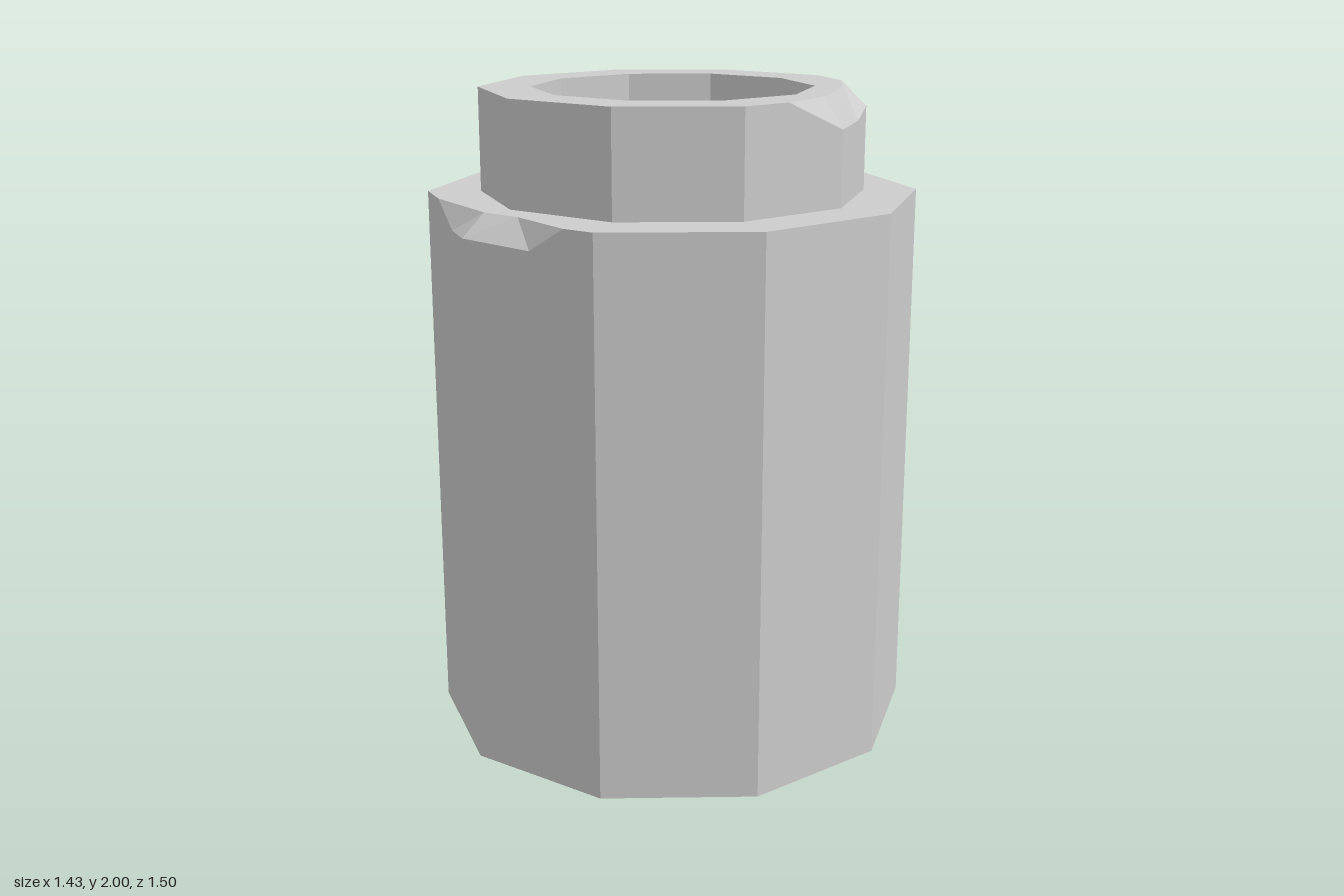
import * as THREE from 'three';

const SIDES = 10, BODY_TOP = 1.685, TOP = 2, FLOOR = 0.115;
const material = new THREE.MeshStandardMaterial({ color: 0xcccccc, flatShading: true, side: THREE.DoubleSide });

// A rim point: wall position (x, z), wall height y, and where the rim starts on the top face (rx, rz)
const point = (x, z, y, rx = x, rz = z) => ({ x, z, y, rx, rz });

// Ten-sided loop; chips replace the corner of the given index by several points
function loop(radius, y, chips = {}) {
  const points = [];
  for (let i = 0; i < SIDES; i++) {
    const a = (i / SIDES) * Math.PI * 2;
    points.push(...(chips[i] ?? [point(radius * Math.sin(a), radius * Math.cos(a), y)]));
  }
  return points;
}

function mesh(name, geometry) {
  const m = new THREE.Mesh(geometry, material);
  m.name = name;
  return m;
}

// Upright wall from y = bottom to the loop, plus sloping facets where the rim is chipped
function wall(name, points, bottom, top, inward = false) {
  const pos = [];
  const tri = (a, b, c) => {
    const [A, B, C] = [a, b, c].map((p) => new THREE.Vector3(...p));
    if (B.clone().sub(A).cross(C.clone().sub(A)).length() < 1e-6) return;
    pos.push(...a, ...(inward ? c : b), ...(inward ? b : c));
  };
  points.forEach((p, i) => {
    const q = points[(i + 1) % points.length];
    const rows = [p, q].map((v) => [[v.x, bottom, v.z], [v.x, v.y, v.z], [v.rx, top, v.rz]]);
    for (let k = 0; k < 2; k++) {
      tri(rows[0][k], rows[1][k], rows[1][k + 1]);
      tri(rows[0][k], rows[1][k + 1], rows[0][k + 1]);
    }
  });
  const g = new THREE.BufferGeometry();
  g.setAttribute('position', new THREE.Float32BufferAttribute(pos, 3));
  g.computeVertexNormals();
  return mesh(name, g);
}

// Flat face at height y, optionally with a hole
function face(name, points, y, hole) {
  const flat = (list) => list
    .map((p) => new THREE.Vector2(p.rx, -p.rz))
    .filter((v, i, all) => i === 0 || v.distanceTo(all[i - 1]) > 1e-4);
  const shape = new THREE.Shape(flat(points));
  if (hole) shape.holes.push(new THREE.Path(flat(hole)));
  return mesh(name, new THREE.ShapeGeometry(shape).rotateX(-Math.PI / 2).translate(0, y, 0));
}

export function createModel() {
  const group = new THREE.Group();
  group.name = 'chippedJar';

  // Body rim with a chip at the back corner and one at the right front corner
  const body = loop(0.75, BODY_TOP, {
    5: [
      point(0.25, -0.669, BODY_TOP),
      point(0, -0.75, 1.61, 0, -0.66),
      point(-0.25, -0.669, BODY_TOP),
    ],
    8: [
      point(-0.713, -0.08, BODY_TOP),
      point(-0.713, 0.1, 1.62, -0.64, 0.2),
      point(-0.713, 0.232, 1.62, -0.64, 0.2),
      point(-0.57, 0.428, 1.61, -0.57, 0.31),
      point(-0.5, 0.525, BODY_TOP),
    ],
  });

  // Neck rim with one long chip across two corners
  const neck = loop(0.588, TOP, {
    1: [
      point(0.15, 0.539, TOP),
      point(0.346, 0.476, 1.91, 0.31, 0.42),
      point(0.485, 0.284, 1.91, 0.4, 0.3),
    ],
    2: [
      point(0.559, 0.182, 1.94, 0.49, 0.16),
      point(0.559, 0, TOP),
    ],
  });
  const neckBase = loop(0.588, BODY_TOP);
  const bore = loop(0.43, TOP);

  group.add(
    wall('bodyWall', body, 0, BODY_TOP),
    face('shoulder', body, BODY_TOP, neckBase),
    wall('neckWall', neck, BODY_TOP, TOP),
    face('neckRim', neck, TOP, bore),
    // Inner cup hanging inside the open-bottomed body
    wall('innerWall', bore, FLOOR, TOP, true),
    face('innerFloor', bore, FLOOR),
  );
  return group;
}
